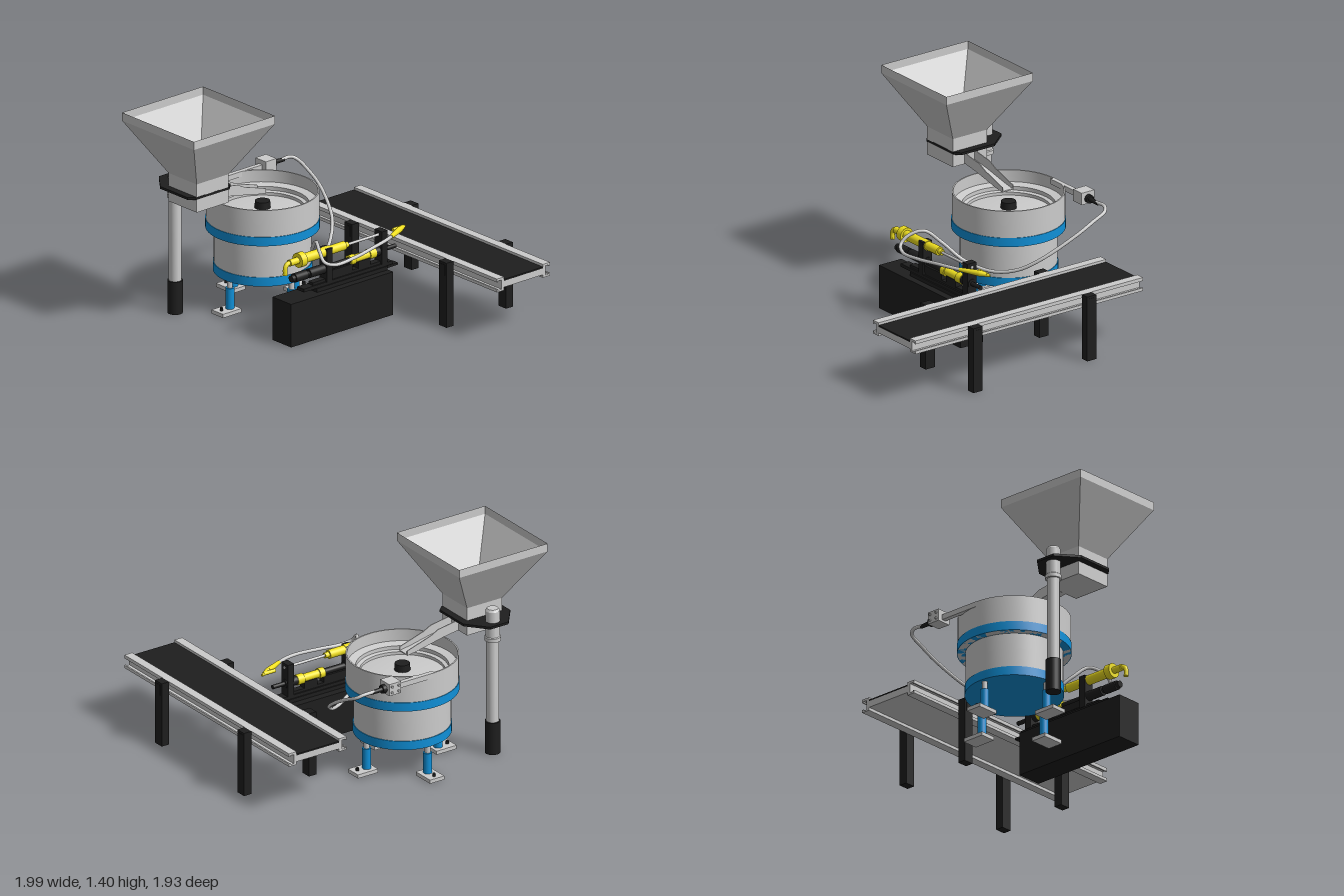
import * as THREE from 'three';
import { toCreasedNormals } from 'three/addons/utils/BufferGeometryUtils.js';

const mat = (color, extra = {}) => new THREE.MeshStandardMaterial({ color, ...extra });
const grey = mat(0xcccccc), greyThin = mat(0xcccccc, { side: THREE.DoubleSide });
const greyFlat = mat(0xcccccc, { side: THREE.DoubleSide, flatShading: true });
const black = mat(0x1e1e1e), blue = mat(0x0f90d8), yellow = mat(0xf0e020);
const V = (x, y, z) => new THREE.Vector3(x, y, z);

function add(parent, name, geo, material, x = 0, y = 0, z = 0) {
  const mesh = new THREE.Mesh(geo, material);
  mesh.name = name;
  mesh.position.set(x, y, z);
  parent.add(mesh);
  return mesh;
}

// box given by its limits on each axis
function box(parent, name, m, x0, x1, y0, y1, z0, z1) {
  return add(parent, name, new THREE.BoxGeometry(x1 - x0, y1 - y0, z1 - z0), m,
    (x0 + x1) / 2, (y0 + y1) / 2, (z0 + z1) / 2);
}

// cylinder or cone between two points
function rod(parent, name, m, a, b, r0, r1 = r0, sides = 24) {
  const d = b.clone().sub(a), mid = a.clone().add(b).multiplyScalar(0.5);
  const mesh = add(parent, name, new THREE.CylinderGeometry(r1, r0, d.length(), sides), m, mid.x, mid.y, mid.z);
  mesh.quaternion.setFromUnitVectors(V(0, 1, 0), d.normalize());
  return mesh;
}

const lathe = (pts, seg = 64) => toCreasedNormals(
  new THREE.LatheGeometry(pts.map(p => new THREE.Vector2(...p)), seg), 0.5);

const tube = (pts, r, seg = 40) =>
  new THREE.TubeGeometry(new THREE.CatmullRomCurve3(pts.map(p => V(...p))), seg, r, 12);

// outline in xy, extruded along +z
function extrude(pts, depth) {
  const s = new THREE.Shape(pts.map(p => new THREE.Vector2(...p)));
  return new THREE.ExtrudeGeometry(s, { depth, bevelEnabled: false });
}

function makeHopper() {
  const g = new THREE.Group();
  g.name = 'hopper';
  g.position.set(-0.66, 0, -0.563);
  // square sections: [half width bottom, half width top, y bottom, y top]
  const sections = [['rim', 0.34, 0.34, 1.345, 1.4], ['funnel', 0.134, 0.34, 1, 1.345], ['neck', 0.134, 0.134, 0.81, 1]];
  for (const [name, lo, hi, y0, y1] of sections) {
    const geo = new THREE.CylinderGeometry(hi * Math.SQRT2, lo * Math.SQRT2, y1 - y0, 4, 1, true);
    geo.rotateY(Math.PI / 4);
    add(g, name, geo, greyFlat, 0, (y0 + y1) / 2, 0);
  }
  box(g, 'neckFloor', grey, -0.133, 0.133, 0.81, 0.82, -0.133, 0.133);

  // mounting plate around the neck, with a tapered rear end
  const plate = extrude([[-0.18, 0.1], [-0.14, 0.135], [0.14, 0.135], [0.18, 0.1],
    [0.18, -0.16], [0.07, -0.297], [-0.07, -0.297], [-0.18, -0.16]], 0.016);
  plate.rotateX(Math.PI / 2).scale(1, 1, 1);
  add(g, 'mountingPlate', plate, black, 0, 0.913, 0);

  // support column behind the neck
  add(g, 'column', lathe([[0, 0.2], [0.04, 0.2], [0.04, 0.78], [0.052, 0.78], [0.052, 0.805],
    [0.046, 0.81], [0.046, 0.985], [0.036, 1], [0, 1]], 32), grey, 0, 0, -0.222);
  rod(g, 'columnSleeve', black, V(0, 0, -0.222), V(0, 0.22, -0.222), 0.049);

  // open chute leading into the bowl
  const side = [[0.13, 0.815], [0.26, 0.795], [0.45, 0.755], [0.53, 0.742], [0.53, 0.775],
    [0.35, 0.83], [0.29, 0.86], [0.13, 0.885]];
  for (const z of [-0.043, 0.037]) add(g, 'chuteSide', extrude(side, 0.006), grey, 0, 0, z);
  const floor = [...side.slice(0, 4), ...side.slice(0, 4).reverse().map(([x, y]) => [x, y + 0.008])];
  add(g, 'chuteFloor', extrude(floor, 0.08), grey, 0, 0, -0.04);
  return g;
}

function makeBowl() {
  const g = new THREE.Group();
  g.name = 'bowlFeeder';
  g.position.set(-0.122, 0, -0.563);
  // bowl with inner ledges and a slightly domed floor
  add(g, 'bowl', lathe([[0.31, 0.51], [0.357, 0.51], [0.357, 0.75], [0.348, 0.75], [0.348, 0.67],
    [0.295, 0.66], [0.295, 0.635], [0.27, 0.63], [0.27, 0.61], [0, 0.64]]), greyThin);
  add(g, 'drive', lathe([[0.308, 0.27], [0.308, 0.52]]), greyThin);
  add(g, 'upperBand', lathe([[0.3, 0.51], [0.361, 0.51], [0.361, 0.57], [0.355, 0.57]]), blue);
  add(g, 'baseBand', lathe([[0, 0.22], [0.313, 0.22], [0.313, 0.28], [0.3, 0.28]]), blue);
  rod(g, 'hub', black, V(0, 0.62, 0), V(0, 0.68, 0), 0.052, 0.048, 32);

  // four adjustable feet
  for (let i = 0; i < 4; i++) {
    const foot = new THREE.Group();
    foot.name = 'foot';
    foot.rotation.y = i * Math.PI / 2;
    box(foot, 'footPlate', grey, 0.225, 0.38, 0, 0.025, -0.055, 0.055);
    rod(foot, 'footSleeve', blue, V(0.275, 0.025, 0), V(0.275, 0.165, 0), 0.028);
    rod(foot, 'footRod', grey, V(0.275, 0.165, 0), V(0.275, 0.255, 0), 0.018);
    rod(foot, 'footBolt', black, V(0.345, 0.025, 0), V(0.345, 0.045, 0), 0.011, 0.011, 6);
    g.add(foot);
  }
  return g;
}

function makeConveyor() {
  const g = new THREE.Group();
  g.name = 'conveyor';
  g.position.set(0.714, 0, 0.07);
  const half = 0.895;
  // channel profile, open to the outside
  const profile = [[0.163, 0.345], [0.222, 0.345], [0.222, 0.365], [0.212, 0.365], [0.212, 0.357],
    [0.185, 0.357], [0.185, 0.42], [0.212, 0.42], [0.212, 0.412], [0.222, 0.412], [0.222, 0.435], [0.163, 0.435]];
  for (const s of [-1, 1]) {
    const rail = extrude(profile.map(([x, y]) => [s * x, y]), 2 * half);
    add(g, s > 0 ? 'leftRail' : 'rightRail', rail, grey, 0, 0, -half);
    for (const z of [-0.45, 0.445]) {
      const x = s * 0.25;
      box(g, 'conveyorLeg', black, x - 0.028, x + 0.028, 0, 0.435, z - 0.036, z + 0.036);
      box(g, 'legBracket', black, x - 0.03, x + 0.03, 0.35, 0.42, z - 0.02, z + 0.02);
    }
  }
  box(g, 'belt', black, -0.163, 0.163, 0.408, 0.418, -half, half);
  box(g, 'beltTray', grey, -0.163, 0.163, 0.365, 0.408, -half, half);
  return g;
}

function makeStation() {
  const g = new THREE.Group();
  g.name = 'toolStation';
  g.position.z = 0.07;
  box(g, 'cabinet', black, -0.52, 0.335, 0, 0.29, -0.09, 0.087);
  box(g, 'baseSlide', black, -0.26, 0.33, 0.29, 0.315, -0.04, 0.04);
  box(g, 'slideTable', black, -0.365, 0.38, 0.315, 0.337, -0.032, 0.032);
  box(g, 'topSlide', black, -0.28, 0.3, 0.337, 0.355, -0.022, 0.022);
  box(g, 'slideArm', black, 0.3, 0.43, 0.295, 0.31, -0.025, 0.025);
  for (const x of [-0.15, 0.312]) {
    box(g, 'toolPost', black, x - 0.024, x + 0.024, 0.335, 0.555, -0.036, 0.036);
  }
  // stepped bodies along x: [x0, x1, radius, material]
  const along = (name, y, steps) => {
    for (const [x0, x1, r, m] of steps) rod(g, name, m, V(x0, y, 0), V(x1, y, 0), r);
  };
  along('upperTool', 0.528, [[-0.46, -0.385, 0.022, yellow], [-0.39, -0.345, 0.048, yellow],
    [-0.345, -0.12, 0.032, yellow], [-0.12, 0.0, 0.029, yellow], [0, 0.03, 0.018, yellow], [0.03, 0.34, 0.009, grey]]);
  along('lowerTool', 0.417, [[-0.445, -0.42, 0.022, black], [-0.42, -0.32, 0.03, black], [-0.32, -0.3, 0.018, black],
    [-0.3, -0.12, 0.031, black], [-0.12, 0.04, 0.02, black], [0.04, 0.08, 0.033, yellow], [0.08, 0.2, 0.026, yellow],
    [0.2, 0.25, 0.034, yellow], [0.25, 0.34, 0.03, black], [0.34, 0.43, 0.014, black]]);
  box(g, 'lowerToolClamp', black, -0.14, 0.05, 0.35, 0.4, -0.025, 0.025);
  box(g, 'frontClamp', black, 0.1, 0.2, 0.35, 0.4, -0.025, 0.025);
  // downturned spout at the rear of the upper tool
  add(g, 'spout', tube([[-0.44, 0.528, 0], [-0.475, 0.525, 0], [-0.492, 0.505, 0], [-0.494, 0.46, 0]], 0.015, 20), yellow);
  add(g, 'spoutEnd', new THREE.CylinderGeometry(0.016, 0.016, 0.01, 16), yellow, -0.494, 0.46, 0);
  // angled nozzle reaching for the belt
  rod(g, 'nozzleBody', yellow, V(0.32, 0.528, 0.085), V(0.45, 0.528, 0.022), 0.013, 0.02);
  rod(g, 'nozzleTip', yellow, V(0.45, 0.528, 0.022), V(0.515, 0.525, -0.008), 0.02, 0.008);
  rod(g, 'nozzleArm', yellow, V(0.41, 0.528, 0), V(0.5, 0.528, 0), 0.012);
  return g;
}

function makeHose() {
  const g = new THREE.Group();
  g.name = 'hoseLine';
  box(g, 'feedBar', grey, -0.12, 0.17, 0.715, 0.75, -0.922, -0.89);
  box(g, 'junctionBox', grey, 0.165, 0.255, 0.7, 0.78, -0.955, -0.855);
  for (const x of [0.185, 0.235]) for (const y of [0.72, 0.76]) {
    rod(g, 'boxScrew', grey, V(x, y, -0.965), V(x, y, -0.95), 0.008, 0.008, 8);
  }
  rod(g, 'boxFitting', black, V(0.25, 0.735, -0.905), V(0.28, 0.735, -0.905), 0.028);
  rod(g, 'hoseSleeve', black, V(0.28, 0.735, -0.905), V(0.36, 0.732, -0.905), 0.016, 0.012);
  const path = [[0.34, 0.735, -0.905], [0.42, 0.735, -0.908], [0.456, 0.715, -0.885], [0.462, 0.67, -0.79],
    [0.45, 0.6, -0.66], [0.37, 0.47, -0.46], [0.26, 0.385, -0.35], [0.12, 0.355, -0.25], [-0.05, 0.4, -0.155],
    [-0.15, 0.51, -0.06], [-0.205, 0.595, 0.04], [-0.255, 0.565, 0.13], [-0.262, 0.515, 0.18],
    [-0.2, 0.49, 0.21], [-0.04, 0.5, 0.217], [0.15, 0.522, 0.2], [0.25, 0.528, 0.18], [0.325, 0.528, 0.152]];
  add(g, 'hose', tube(path, 0.0115, 160), grey);
  return g;
}

export function createModel() {
  const model = new THREE.Group();
  model.name = 'feedingStation';
  model.add(makeHopper(), makeBowl(), makeConveyor(), makeStation(), makeHose());
  return model;
}
